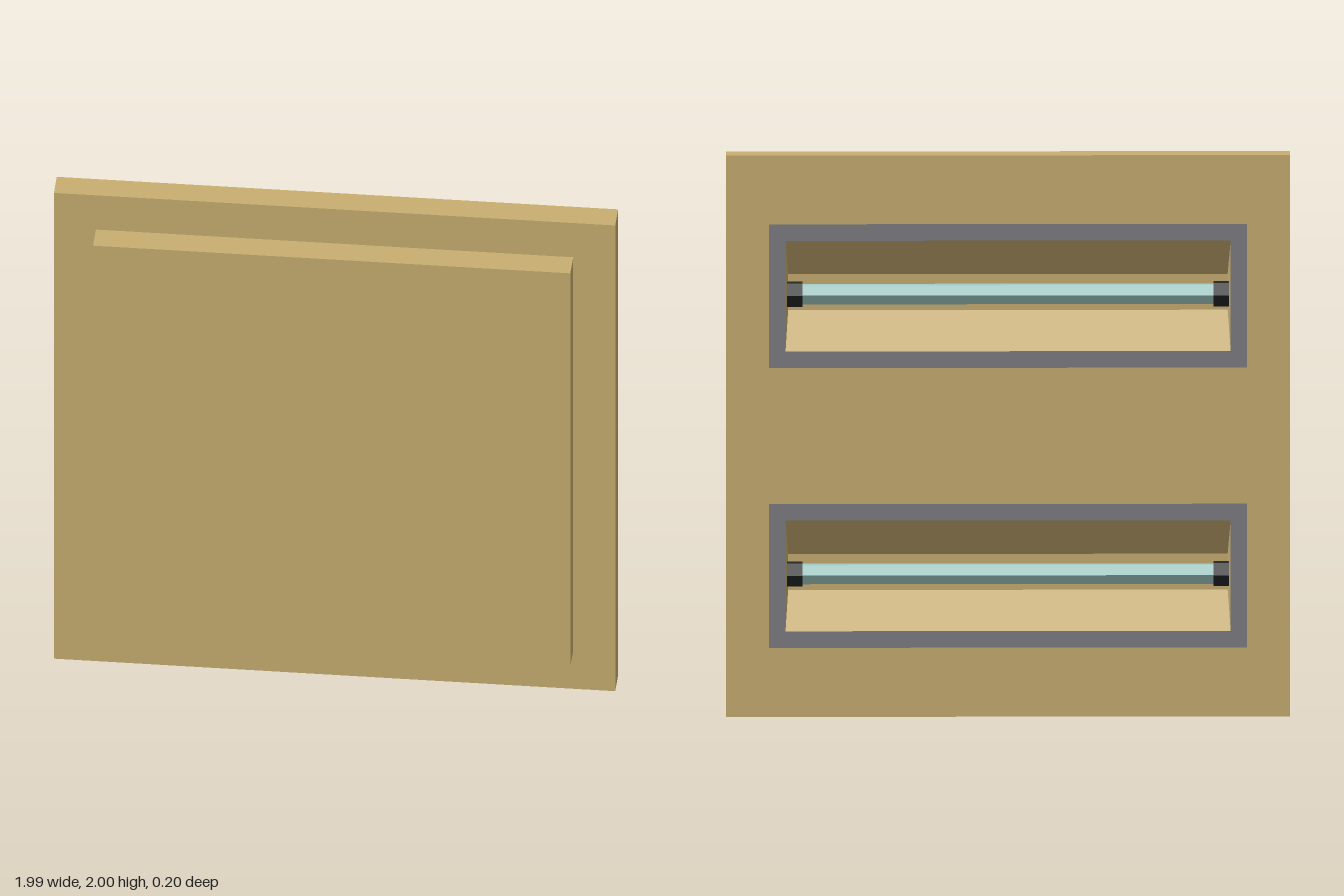
import * as THREE from 'three';

const mat = (color) => new THREE.MeshStandardMaterial({ color, flatShading: true });
const tan = mat(0xc8ae70);
const grey = mat(0x7f7f84);
const black = mat(0x222426);
const teal = mat(0xa3cdc8);

const BACK = -0.1;              // z of the rear face
const BAYS = [0.502, 1.499];    // heights of the two lamp bays
const FRAME = [0.843, 0.256];   // half width and half height
const OPENING = [0.785, 0.197];
const FLOOR = [0.775, 0.064];

const corners = ([w, h], y = 0) => [[-w, y - h], [w, y - h], [w, y + h], [-w, y + h]];
const toPoints = (list) => list.map(([x, y]) => new THREE.Vector2(x, y));

// Extruded rectangle with rectangular holes, from z0 to z1
function plate(outline, holes, z0, z1) {
  const shape = new THREE.Shape(toPoints(outline));
  for (const hole of holes) shape.holes.push(new THREE.Path(toPoints(hole)));
  const geo = new THREE.ExtrudeGeometry(shape, { depth: z1 - z0, bevelEnabled: false });
  return geo.translate(0, 0, z0);
}

// Recess with four sloping walls and a narrow floor, open to the rear
function troughGeometry() {
  const o = corners(OPENING).map(([x, y]) => [x, y, BACK]);
  const i = corners(FLOOR).map(([x, y]) => [x, y, -0.001]);
  const quads = [[i[0], i[3], i[2], i[1]]];
  for (let k = 0; k < 4; k++) {
    const n = (k + 1) % 4;
    quads.push([o[k], i[k], i[n], o[n]]);
  }
  const pos = quads.flatMap(([a, b, c, d]) => [a, b, c, a, c, d].flat());
  const geo = new THREE.BufferGeometry();
  geo.setAttribute('position', new THREE.Float32BufferAttribute(pos, 3));
  geo.computeVertexNormals();
  return geo;
}

function add(parent, name, geo, material, x = 0, y = 0, z = 0) {
  const mesh = new THREE.Mesh(geo, material);
  mesh.name = name;
  mesh.position.set(x, y, z);
  parent.add(mesh);
  return mesh;
}

// Six-sided bar lying along x
const hexBar = (r, length) => new THREE.CylinderGeometry(r, r, length, 6).rotateZ(Math.PI / 2);

export function createModel() {
  const model = new THREE.Group();
  model.name = 'ceilingLightPanel';

  // Wide rear panel and the smaller housing on its front
  const bayHoles = BAYS.map((y) => corners(FRAME, y));
  add(model, 'panel', plate(corners([0.995, 1], 1), bayHoles, BACK, 0), tan);
  add(model, 'housing', new THREE.BoxGeometry(1.692, 1.688, 0.1), tan, 0, 1.009, 0.05);

  // Two identical lamp bays
  for (const y of BAYS) {
    const bay = new THREE.Group();
    bay.name = 'lampBay';
    bay.position.y = y;
    model.add(bay);
    add(bay, 'frame', plate(corners(FRAME), [corners(OPENING)], BACK, BACK + 0.01), grey);
    const trough = add(bay, 'trough', troughGeometry(), tan.clone());
    trough.material.side = THREE.DoubleSide;
    add(bay, 'tube', hexBar(0.039, 1.5), teal, 0, 0, -0.05);
    for (const side of [-1, 1]) {
      add(bay, 'tubeCap', hexBar(0.048, 0.055), black, side * 0.752, 0, -0.05);
    }
  }
  return model;
}
